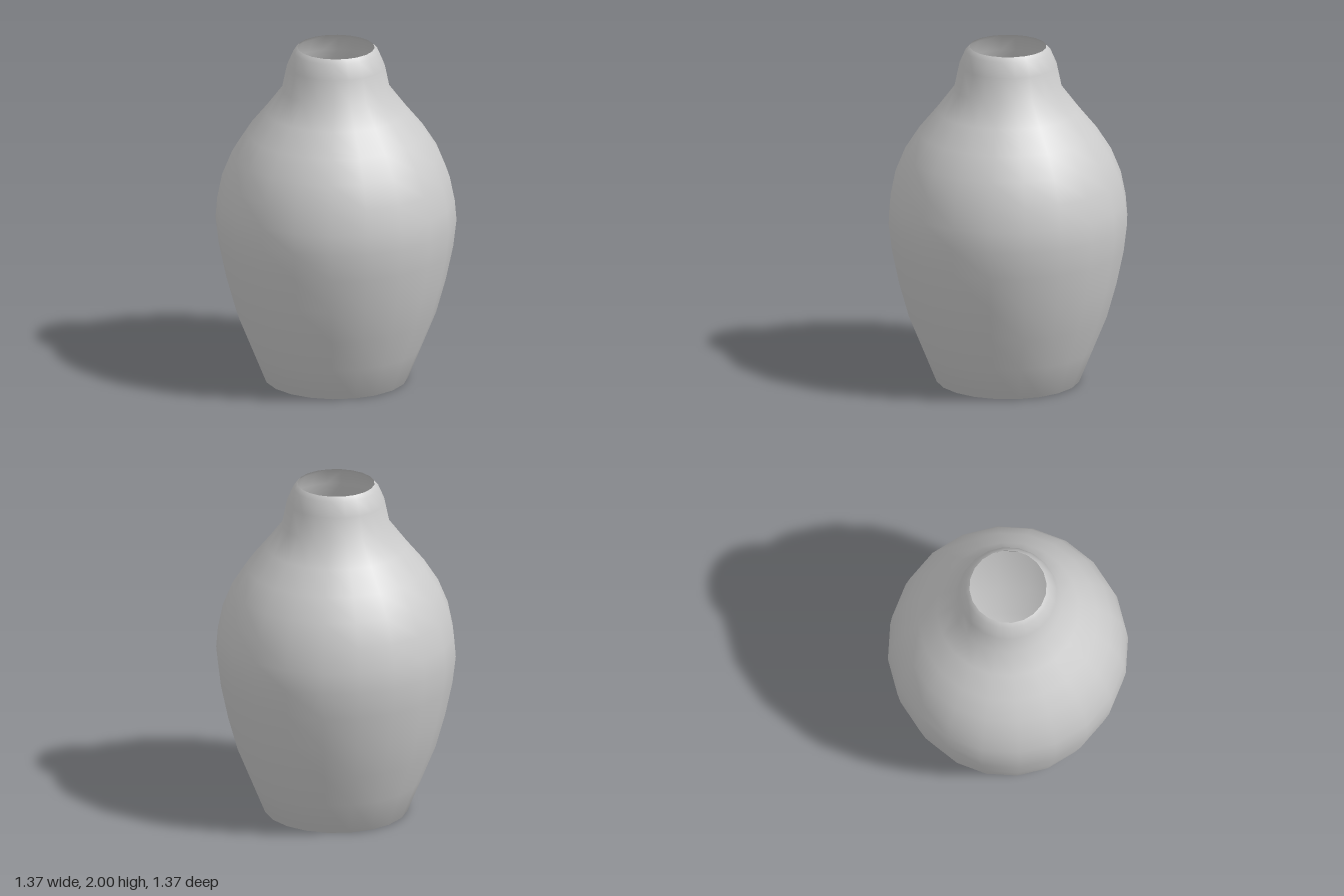
import * as THREE from 'three';

const SIDES = 20;

// Half-width and height, from the middle of the foot up to the lip
const PROFILE = [
  [0, 0.04], [0.3, 0.04], [0.38, 0.03], [0.41, 0], // slightly hollow foot
  [0.49, 0.2], [0.57, 0.4], [0.625, 0.6], [0.667, 0.8], [0.686, 0.96], // belly
  [0.676, 1.08], [0.648, 1.22], [0.592, 1.36], [0.51, 1.49], [0.405, 1.62], // shoulder
  [0.308, 1.75], [0.279, 1.89], [0.243, 1.975], [0.22, 2], // neck and lip
];

export function createModel() {
  const group = new THREE.Group();
  group.name = 'vase';

  // Half-widths are measured across the flats, which face the x and z axes
  const flat = Math.cos(Math.PI / SIDES);
  const points = PROFILE.map(([r, y]) => new THREE.Vector2(r / flat, y));
  const geometry = new THREE.LatheGeometry(points, SIDES, Math.PI / SIDES);

  // Thin single wall with an open mouth
  const material = new THREE.MeshStandardMaterial({ color: 0xcccccc, side: THREE.DoubleSide });
  const body = new THREE.Mesh(geometry, material);
  body.name = 'vaseBody';
  group.add(body);
  return group;
}
